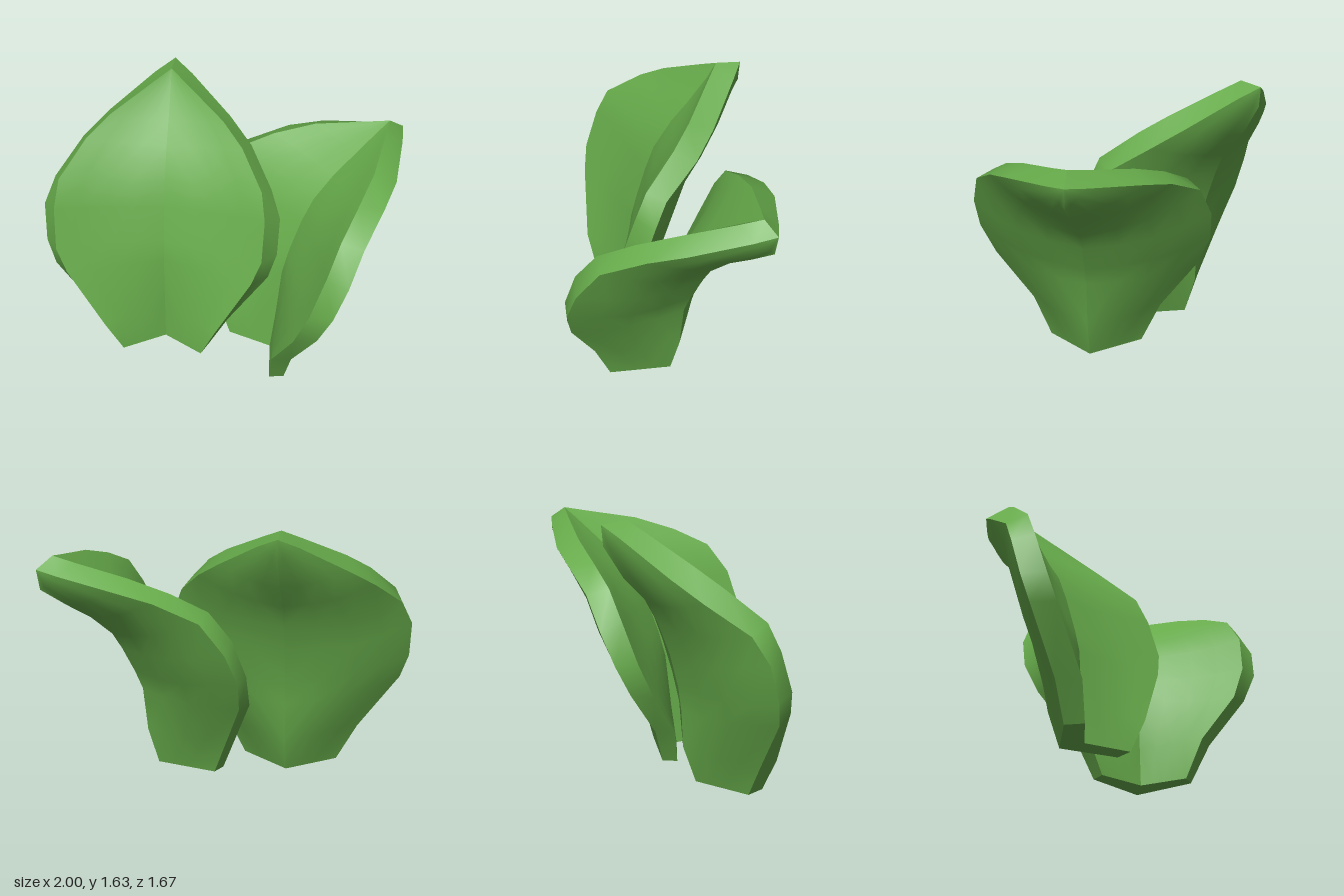
import * as THREE from 'three';

// One row per cross-section, base to tip:
// inner edge (u, y, w), inner midrib (u, y), outer keel (u, y), outer edge (u, y, w)
const curledRows = [
  [0, 0, .24, .15, 0, .32, 0, .08, 0, .28],
  [-.04, .23, .33, .19, .25, .39, .23, .06, .23, .39],
  [-.02, .51, .53, .23, .56, .42, .5, .09, .53, .61],
  [.04, .72, .60, .28, .71, .47, .62, .14, .72, .69],
  [.14, .96, .61, .36, .89, .55, .78, .23, .91, .70],
  [.26, 1.13, .56, .44, 1.02, .61, .88, .36, 1.10, .645],
  [.44, 1.23, .45, .57, 1.14, .74, 1.0, .58, 1.21, .51],
  [.64, 1.31, .31, .73, 1.25, .89, 1.1, .75, 1.26, .38],
  [.86, 1.37, .10, .88, 1.35, 1.04, 1.21, .98, 1.31, .11],
  [.96, 1.40, 0, .96, 1.40, 1.06, 1.33, 1.06, 1.33, 0],
];
const uprightRows = [
  [0, 0, .24, .15, 0, .31, 0, .105, 0, .28],
  [-.04, .21, .335, .17, .24, .39, .23, .09, .22, .40],
  [-.01, .58, .55, .19, .56, .40, .45, .10, .56, .64],
  [.015, .73, .61, .22, .69, .42, .60, .13, .71, .69],
  [.09, .97, .62, .28, .90, .47, .80, .19, .93, .70],
  [.16, 1.13, .595, .333, 1.05, .54, .99, .27, 1.08, .64],
  [.35, 1.30, .46, .44, 1.22, .60, 1.12, .48, 1.24, .50],
  [.47, 1.40, .335, .54, 1.34, .736, 1.27, .61, 1.35, .36],
  [.64, 1.535, .10, .66, 1.50, .85, 1.46, .79, 1.52, .11],
  [.712, 1.59, 0, .712, 1.59, .86, 1.58, .86, 1.58, 0],
];

// Smooth surface through rows of points; side = -1 mirrors it across the midrib
function strip(rows, side) {
  const n = rows[0].length, positions = [], index = [];
  rows.flat().forEach(p => positions.push(p.x, p.y, p.z * side));
  for (let i = 0; i < rows.length - 1; i++) {
    for (let j = 0; j < n - 1; j++) {
      const a = i * n + j, b = a + 1, c = a + n, d = c + 1;
      if (side > 0) index.push(a, b, c, b, d, c);
      else index.push(a, c, b, b, c, d);
    }
  }
  const g = new THREE.BufferGeometry();
  g.setAttribute('position', new THREE.Float32BufferAttribute(positions, 3));
  g.setIndex(index);
  g.computeVertexNormals();
  return g;
}

// Points from a to b, swelling outward in proportion to the width between them
function bowed(a, b, amount) {
  const size = amount * Math.abs(a.z - b.z);
  return Array.from({ length: 5 }, (_, k) => {
    const s = size * Math.sin(Math.PI * k / 4);
    return a.clone().lerp(b, k / 4).add(new THREE.Vector3(s * .65, -s * .3, s * .65));
  });
}

function makeLeaf(name, table, material) {
  const leaf = new THREE.Group();
  leaf.name = name;
  const rows = table.map(r => ({
    edge: new THREE.Vector3(r[0], r[1], r[2]),
    mid: new THREE.Vector3(r[3], r[4], 0),
    keel: new THREE.Vector3(r[5], r[6], 0),
    out: new THREE.Vector3(r[7], r[8], r[9]),
  }));
  const swell = i => Math.sin(Math.PI * i / (rows.length - 1));
  const surfaces = {
    innerFace: rows.map((r, i) => bowed(r.mid, r.edge, .04 * swell(i))),
    outerFace: rows.map((r, i) => bowed(r.out, r.keel, .1 * swell(i))),
    rim: rows.map(r => [r.edge, r.out]),
    baseCut: [[rows[0].edge, rows[0].mid], [rows[0].out, rows[0].keel]],
  };
  for (const [part, points] of Object.entries(surfaces)) {
    for (const side of [1, -1]) {
      const mesh = new THREE.Mesh(strip(points, side), material);
      mesh.name = part + (side > 0 ? 'A' : 'B');
      leaf.add(mesh);
    }
  }
  return leaf;
}

export function createModel() {
  const model = new THREE.Group();
  model.name = 'leafPair';
  const green = new THREE.MeshStandardMaterial({ color: 0x66aa4a, side: THREE.DoubleSide });
  green.name = 'leafGreen';

  // Low leaf curling to the side
  const curled = makeLeaf('curledLeaf', curledRows, green);
  curled.position.set(-.06, 0, .137);
  curled.rotation.y = THREE.MathUtils.degToRad(-1.2);

  // Taller leaf turned toward the back
  const upright = makeLeaf('uprightLeaf', uprightRows, green);
  upright.position.set(-.525, .04, -.13);
  upright.rotation.y = THREE.MathUtils.degToRad(52);

  model.add(curled, upright);
  return model;
}
